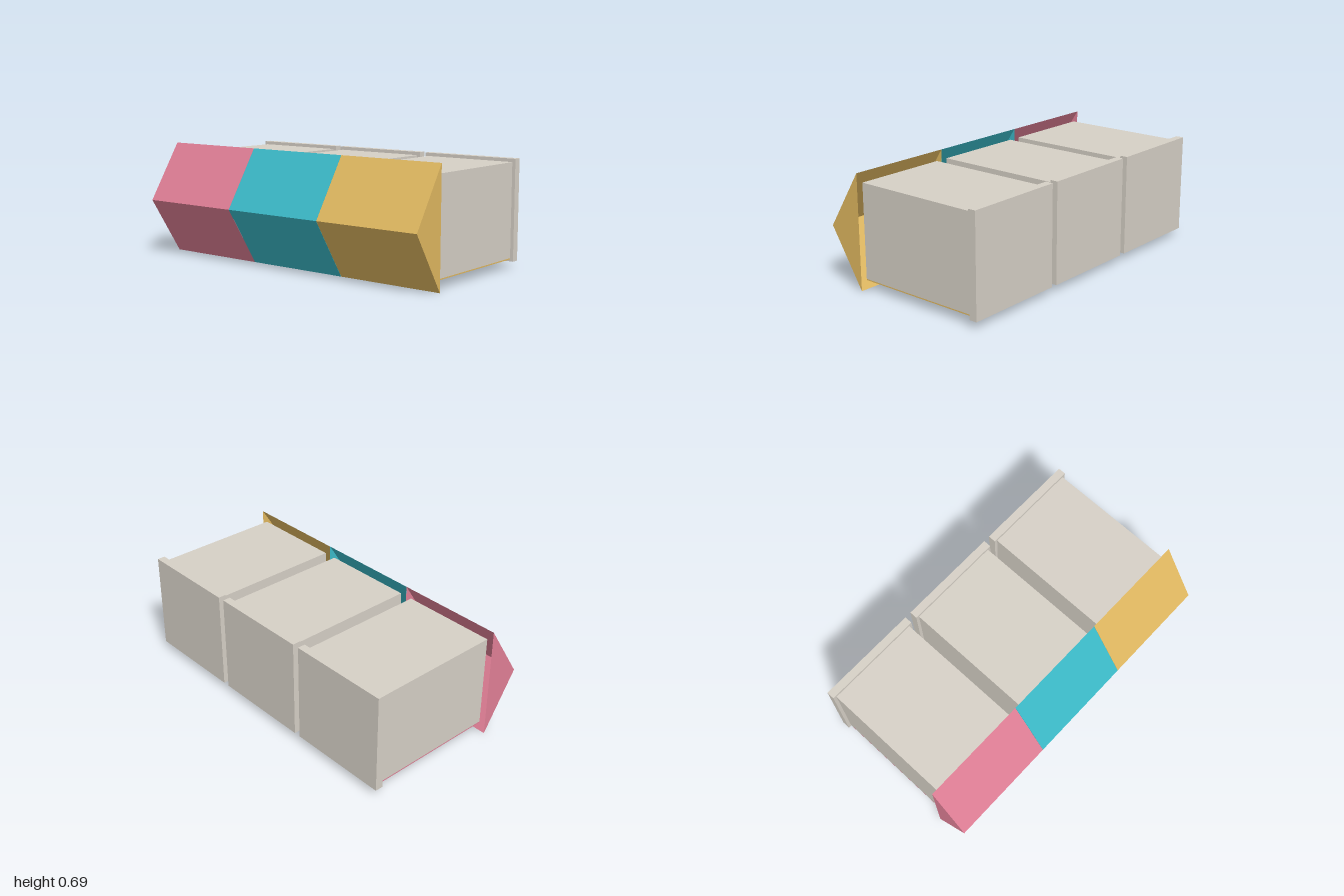
import * as THREE from 'three';

const mat = (name, color, side = THREE.FrontSide) => {
  const m = new THREE.MeshStandardMaterial({ color, side });
  m.name = name;
  return m;
};

// Box given by its minimum and maximum corners
function block(name, material, [x0, y0, z0], [x1, y1, z1]) {
  const mesh = new THREE.Mesh(new THREE.BoxGeometry(x1 - x0, y1 - y0, z1 - z0), material);
  mesh.position.set((x0 + x1) / 2, (y0 + y1) / 2, (z0 + z1) / 2);
  mesh.name = name;
  return mesh;
}

// Wedge with two sloping faces and end caps, open at the back
function hoodGeometry(halfWidth) {
  const ring = x => [[x, 0, 0.315], [x, 0.345, 0.535], [x, 0.69, 0.315]];
  const [a, b, c] = ring(-halfWidth);
  const [d, e, f] = ring(halfWidth);
  const faces = [
    a, d, e, a, e, b, // lower slope
    b, e, f, b, f, c, // upper slope
    a, b, c, d, f, e, // end caps
  ];
  const g = new THREE.BufferGeometry();
  g.setAttribute('position', new THREE.Float32BufferAttribute(faces.flat(), 3));
  g.computeVertexNormals();
  return g;
}

export function createModel() {
  const model = new THREE.Group();
  model.name = 'threeUnitBlock';
  const grey = mat('warmGrey', 0xd6d0c6);
  const colours = [
    mat('pink', 0xe07f96, THREE.DoubleSide),
    mat('teal', 0x3bbac8, THREE.DoubleSide),
    mat('yellow', 0xe0b860, THREE.DoubleSide),
  ];
  const hood = hoodGeometry(0.333);
  const half = 0.293, slats = 5, step = (2 * half) / (slats * 2 - 1);

  colours.forEach((colour, i) => {
    const unit = new THREE.Group();
    unit.name = ['rightUnit', 'middleUnit', 'leftUnit'][i];
    unit.position.x = (i - 1) * 0.667;

    const front = new THREE.Mesh(hood, colour);
    front.name = 'frontHood';
    unit.add(front);

    unit.add(block('body', grey, [-half, 0.062, -0.487], [half, 0.628, 0.315]));
    unit.add(block('backPlate', grey, [-0.313, 0.043, -0.535], [0.313, 0.648, -0.487]));

    // Coloured strips along the underside
    for (let s = 0; s < slats; s++) {
      const x = -half + s * 2 * step;
      unit.add(block('floorStrip', colour, [x, 0.055, -0.487], [x + step, 0.062, 0.315]));
    }
    model.add(unit);
  });
  return model;
}
